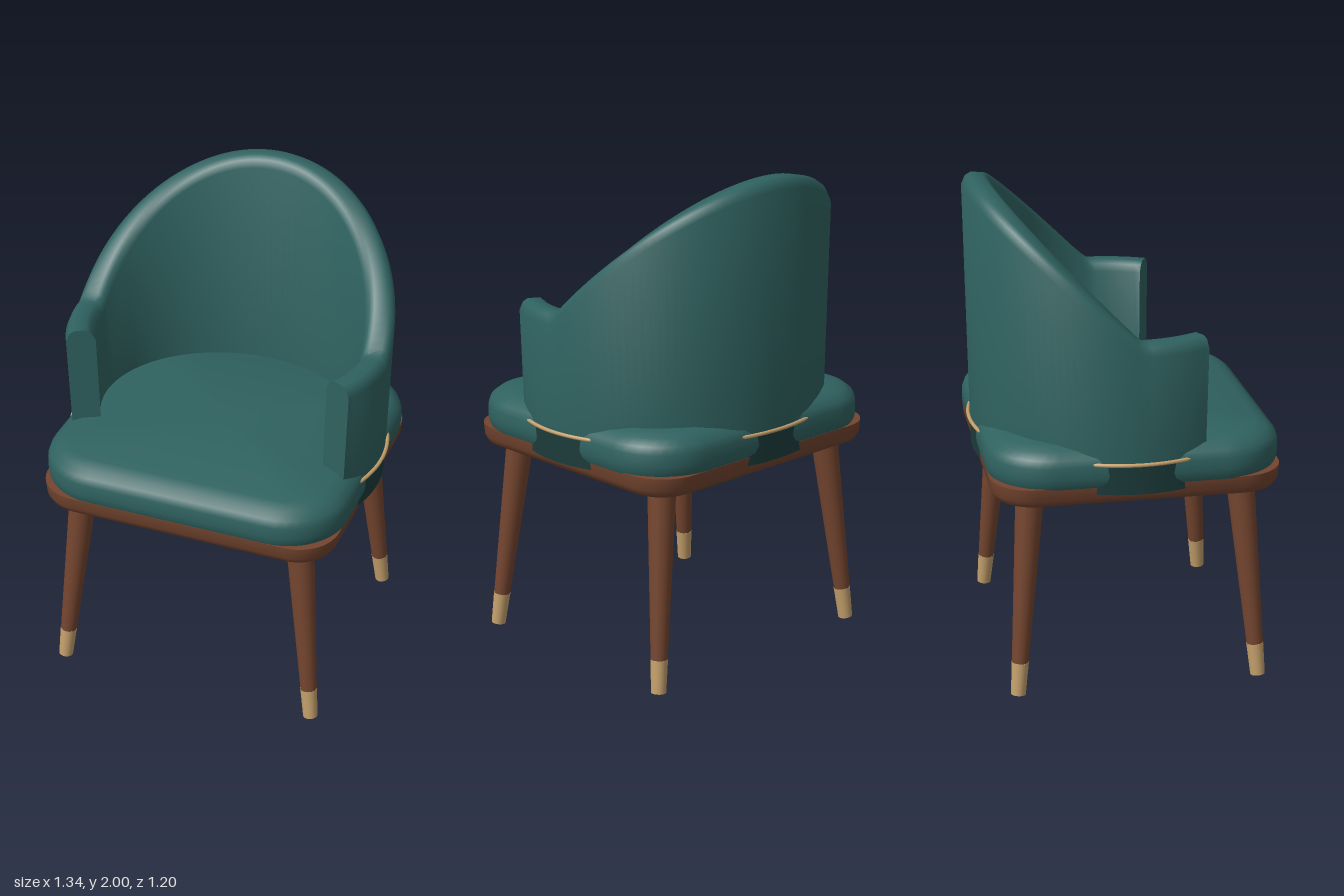
import * as THREE from 'three';
import { toCreasedNormals } from 'three/addons/utils/BufferGeometryUtils.js';

const mat = (name, color, side = THREE.FrontSide) => {
  const m = new THREE.MeshStandardMaterial({ color, side });
  m.name = name;
  return m;
};

// Skin closed rings of points and cap both ends
function loft(rings, crease = 0.9) {
  const pos = [], idx = [], n = rings[0].length;
  rings.forEach(r => r.forEach(p => pos.push(p.x, p.y, p.z)));
  for (let i = 0; i < rings.length - 1; i++) {
    for (let j = 0; j < n; j++) {
      const a = i * n + j, b = i * n + (j + 1) % n;
      idx.push(a, b, b + n, a, b + n, a + n);
    }
  }
  [0, rings.length - 1].forEach(i => {
    const c = new THREE.Vector3();
    rings[i].forEach(p => c.addScaledVector(p, 1 / n));
    const k = pos.length / 3;
    pos.push(c.x, c.y, c.z);
    for (let j = 0; j < n; j++) {
      const a = i * n + j, b = i * n + (j + 1) % n;
      if (i === 0) idx.push(k, b, a); else idx.push(k, a, b);
    }
  });
  const g = new THREE.BufferGeometry();
  g.setAttribute('position', new THREE.Float32BufferAttribute(pos, 3));
  g.setIndex(idx);
  return toCreasedNormals(g, crease);
}

// Rounded-rectangle slab; the profile lists [inset, height]
const CZ = 0.01;
function slab(hx, hz, radius, profile) {
  const steps = 10;
  return loft(profile.map(([inset, y]) => {
    const ring = [], r = radius - inset;
    for (let q = 0; q < 4; q++) {
      const sx = q === 0 || q === 3 ? 1 : -1, sz = q < 2 ? -1 : 1;
      for (let s = 0; s <= steps; s++) {
        const a = (q + s / steps) * Math.PI / 2;
        ring.push(new THREE.Vector3(
          sx * (hx - radius) + r * Math.cos(a), y,
          CZ + sz * (hz - radius) - r * Math.sin(a)));
      }
    }
    return ring;
  }));
}

// Wrap-around back: elliptical plan, level arms, rim rising towards the rear
const BOTTOM = 0.87, SEAM = 0.995, END = 0.467;
const rimHeight = t => 1.475 + 0.525 * Math.max(0, -Math.sin(t));
function shellPoint(t, offset, y) {
  const h = rimHeight(t);
  const taper = 1 - 0.024 * (h - y) / (h - BOTTOM);
  return new THREE.Vector3(
    (0.61 + offset) * taper * Math.cos(t), y, (0.54 + offset) * taper * Math.sin(t));
}
function shell(section) {
  const rings = [], steps = 80;
  for (let i = 0; i <= steps; i++) {
    const t = END - (Math.PI + 2 * END) * i / steps;
    rings.push(section(rimHeight(t)).map(([o, y]) => shellPoint(t, o, y)));
  }
  return loft(rings);
}

export function createModel() {
  const group = new THREE.Group();
  const teal = mat('teal upholstery', 0x2f6260);
  const darkTeal = mat('dark teal trim', 0x1c3c3b);
  const wood = mat('brown wood', 0x74452f);
  const brass = mat('brass', 0xc4a06c);

  const add = (name, geometry, material, parent = group) => {
    const m = new THREE.Mesh(geometry, material);
    m.name = name;
    parent.add(m);
    return m;
  };

  // Seat
  add('seatCushion', slab(0.64, 0.59, 0.26, [
    [0.012, 0.9], [0.003, 0.92], [0, 0.945], [0.001, 0.99],
    [0.012, 1.02], [0.045, 1.045], [0.09, 1.06]]), teal);
  add('seatBase', slab(0.626, 0.582, 0.17, [
    [0.05, 0.815], [0.02, 0.828], [0.004, 0.855], [0, 0.905]]), wood);

  // Backrest, its lower trim and the brass piping between them
  add('backrest', shell(h => [
    [-0.06, SEAM], [-0.06, h - 0.045], [-0.045, h - 0.015], [-0.025, h],
    [0.025, h], [0.045, h - 0.012], [0.06, h - 0.045], [0.06, SEAM]]), teal);
  add('backrestTrim', shell(() => [
    [-0.06, BOTTOM], [-0.06, SEAM], [0.06, SEAM], [0.06, BOTTOM]]), darkTeal);
  const path = [];
  for (let i = 0; i <= 60; i++) {
    path.push(shellPoint(END - (Math.PI + 2 * END) * i / 60, 0.067, SEAM));
  }
  add('piping', new THREE.TubeGeometry(
    new THREE.CatmullRomCurve3(path), 120, 0.008, 8, false), brass);

  // Splayed, tapered legs with brass feet
  const rod = (name, from, to, rTop, rBottom, material, parent) => {
    const g = new THREE.CylinderGeometry(rTop, rBottom, from.distanceTo(to), 24);
    const m = add(name, g, material, parent);
    m.position.addVectors(from, to).multiplyScalar(0.5);
    m.quaternion.setFromUnitVectors(
      new THREE.Vector3(0, 1, 0), new THREE.Vector3().subVectors(from, to).normalize());
  };
  for (const sz of [1, -1]) {
    for (const sx of [1, -1]) {
      const leg = new THREE.Group();
      leg.name = (sz > 0 ? 'front' : 'back') + (sx > 0 ? 'Left' : 'Right') + 'Leg';
      group.add(leg);
      const top = new THREE.Vector3(sx * 0.47, 0.83, CZ + sz * 0.425);
      const foot = new THREE.Vector3(sx * 0.557, 0.004, CZ + sz * 0.495);
      const joint = top.clone().lerp(foot, 0.836);
      rod('legShaft', top, joint, 0.057, 0.034, wood, leg);
      rod('foot', joint, foot, 0.035, 0.03, brass, leg);
    }
  }
  return group;
}
